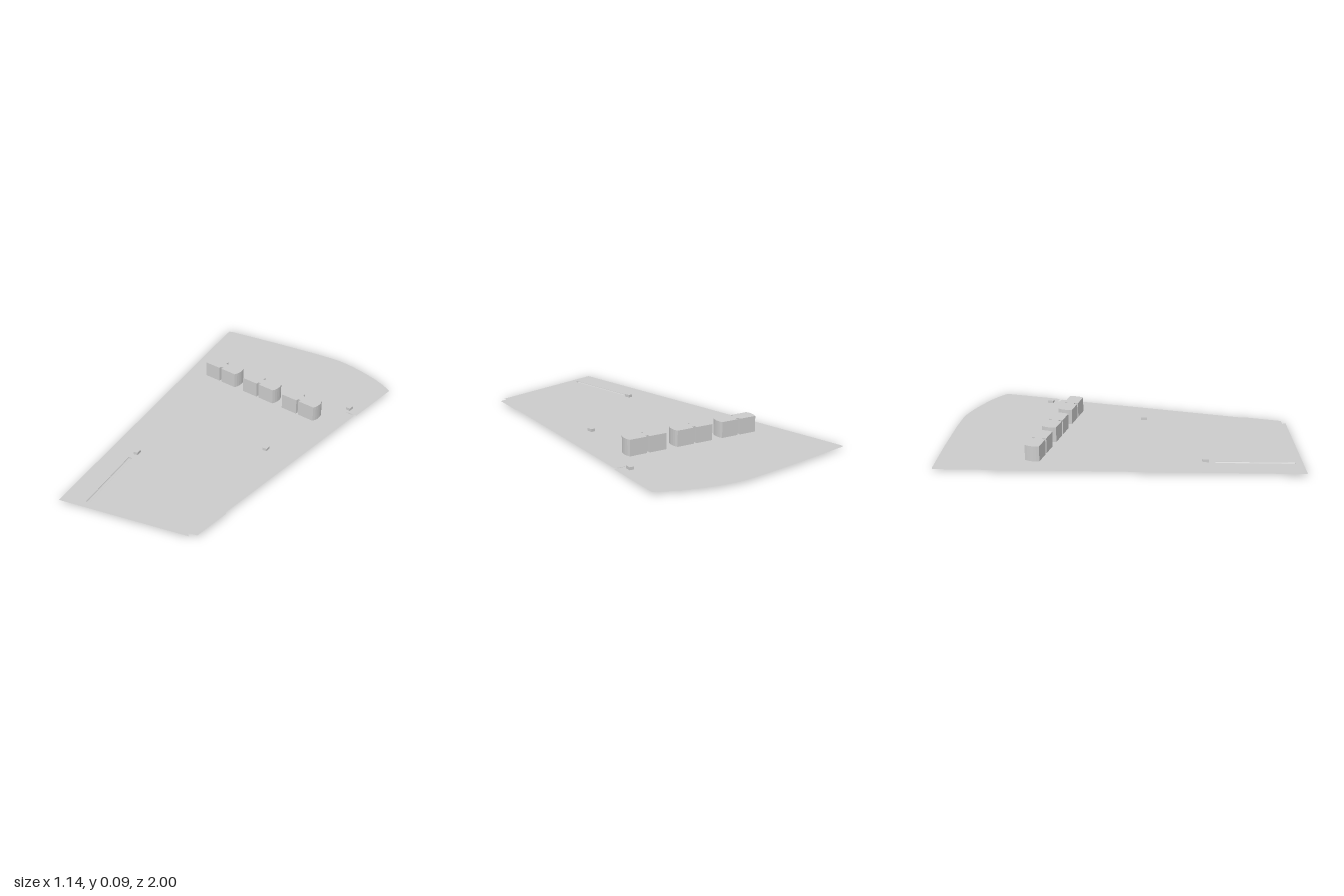
import * as THREE from 'three';

const PLATE_Y = 0.01;
const material = new THREE.MeshStandardMaterial({ color: 0xcccccc, flatShading: true, side: THREE.DoubleSide });

// Plan outlines are given as [x, z]; the shape is laid flat with y up.
const toPoints = (list) => list.map(([x, z]) => new THREE.Vector2(x, -z));

function addMesh(group, name, geometry) {
  const mesh = new THREE.Mesh(geometry, material);
  mesh.name = name;
  group.add(mesh);
  return mesh;
}

export function createModel() {
  const group = new THREE.Group();
  group.name = 'taperedPanel';

  // Groove placement: runs slanted along the narrow end
  const start = new THREE.Vector2(-0.1, 0.52), end = new THREE.Vector2(0, 0.92);
  const length = start.distanceTo(end), halfWidth = 0.01;
  const slant = Math.atan2(end.x - start.x, end.y - start.y);
  const sideX = Math.cos(slant) * halfWidth, sideZ = -Math.sin(slant) * halfWidth;

  // Thin plate with a curved wide end, edge slit and corner nick
  const outline = new THREE.Shape(toPoints([
    [-0.12, 1], [0.545, 0.8], [0.525, 0.785], [0.57, 0.77], [0.57, 0.56], [0.562, 0.555],
    [0.562, -0.547], [0.5, -0.557], [0.57, -0.563], [0.57, -0.9], [0.51, -0.93], [0.44, -0.955],
    [0.35, -0.977], [0.26, -0.993], [0.18, -1], [0.13, -0.998], [0, -0.98], [-0.28, -0.928],
    [-0.55, -0.872], [-0.57, -0.865], [-0.57, -0.845],
  ]));
  outline.holes.push(new THREE.Path(toPoints([
    [start.x - sideX, start.y - sideZ], [start.x + sideX, start.y + sideZ],
    [end.x + sideX, end.y + sideZ], [end.x - sideX, end.y - sideZ],
  ])));
  addMesh(group, 'plate', new THREE.ShapeGeometry(outline).rotateX(-Math.PI / 2)).position.y = PLATE_Y;

  // Half-round trough sunk into the plate
  const trough = new THREE.CylinderGeometry(halfWidth, halfWidth, length, 10, 1, false, -Math.PI / 2, Math.PI)
    .rotateX(Math.PI / 2).scale(1, 0.7, 1).rotateY(slant);
  addMesh(group, 'groove', trough).position.set((start.x + end.x) / 2, PLATE_Y, (start.y + end.y) / 2);

  // Three boxes with bowed ends and a slot in the middle of each long side
  const quarter = [[0.008, 0.022], [0.008, 0.04], [0.104, 0.04], [0.11, 0.024], [0.1125, 0.008]];
  const back = quarter.map(([x, z]) => [x, -z]).reverse();
  const right = [...quarter, ...back];
  const left = right.map(([x, z]) => [-x, -z]);
  const boxGeometry = new THREE.ExtrudeGeometry(new THREE.Shape(toPoints([...right, ...left])),
    { depth: 0.095, bevelEnabled: false }).rotateX(-Math.PI / 2);
  [-0.232, 0.038, 0.312].forEach((x, i) => {
    addMesh(group, `box${i + 1}`, boxGeometry).position.set(x, 0, -0.405);
  });

  // Small locating blocks
  const blockGeometry = new THREE.BoxGeometry(0.024, 0.015, 0.034);
  [[0.503, -0.595, 0], [0.387, 0.01, 0.17], [-0.102, 0.468, slant]].forEach(([x, z, turn], i) => {
    const block = addMesh(group, `block${i + 1}`, blockGeometry);
    block.position.set(x, PLATE_Y + 0.0075, z);
    block.rotation.y = turn;
  });

  return group;
}
